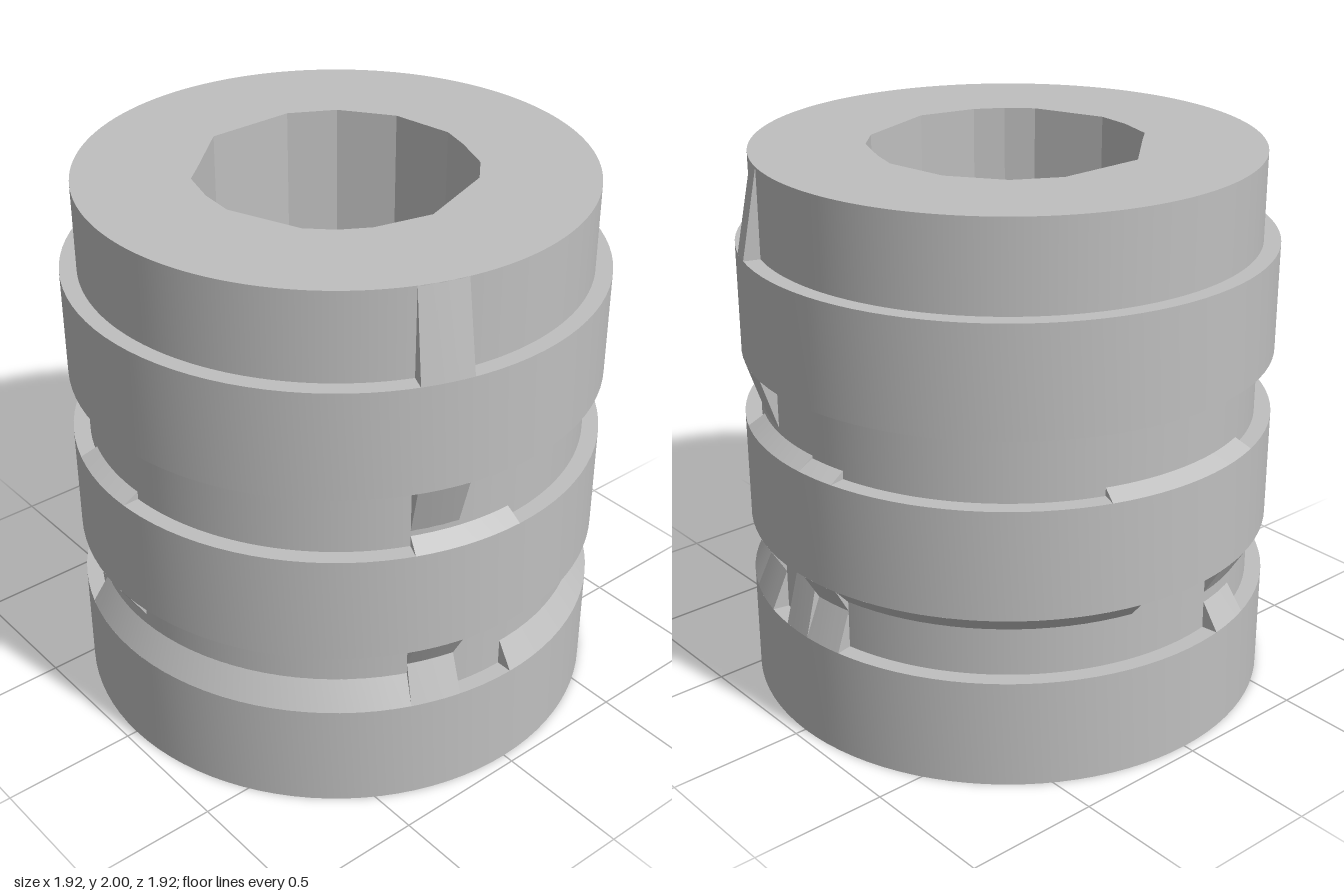
import * as THREE from 'three';
import { mergeGeometries, toCreasedNormals } from 'three/addons/utils/BufferGeometryUtils.js';

const CORE = 0.9, RIM = 0.96, SEGS = 96;
const rad = THREE.MathUtils.degToRad;

export function createModel() {
  const group = new THREE.Group();
  const grey = new THREE.MeshStandardMaterial({ color: 0xbfbfbf });
  grey.name = 'plain grey';

  function add(name, geometry) {
    const mesh = new THREE.Mesh(geometry, grey);
    mesh.name = name;
    group.add(mesh);
  }

  // Core tube with an irregular faceted bore (points are x, z)
  const bore = [
    [-0.17, -0.47], [0.16, -0.47], [0.32, -0.38], [0.45, -0.2], [0.49, 0.03],
    [0.46, 0.14], [0.4, 0.29], [0.31, 0.38], [0, 0.49], [-0.21, 0.44], [-0.31, 0.38],
    [-0.39, 0.3], [-0.49, 0.04], [-0.48, -0.09], [-0.44, -0.23], [-0.37, -0.29],
  ];
  const ring = new THREE.Shape().absarc(0, 0, CORE, 0, Math.PI * 2);
  ring.holes.push(new THREE.Path(bore.map(([x, z]) => new THREE.Vector2(x, -z))));
  const core = new THREE.ExtrudeGeometry(ring, { depth: 2, bevelEnabled: false, curveSegments: SEGS });
  core.rotateX(-Math.PI / 2);
  add('core', toCreasedNormals(core, 0.15));

  // Raised bands around the core
  const bands = { lowerBand: [0, 0.4], middleBand: [0.64, 1.04], upperBand: [1.285, 1.68] };
  for (const [name, [y0, y1]] of Object.entries(bands)) {
    const profile = [[CORE, y0], [RIM, y0], [RIM, y1], [CORE, y1]].map((p) => new THREE.Vector2(...p));
    add(name, toCreasedNormals(new THREE.LatheGeometry(profile, SEGS), 0.3));
  }

  // Triangular ramp swept between two angles, measured from the front towards +x
  function wedge(points, from, to) {
    const start = rad(from), sweep = rad(to - from);
    const profile = [...points, points[0]].map((p) => new THREE.Vector2(...p));
    const steps = Math.max(2, Math.ceil((to - from) / 3.75));
    const side = new THREE.LatheGeometry(profile, steps, start, sweep).toNonIndexed();
    side.deleteAttribute('uv');
    const cap = (angle, corners) => {
      const g = new THREE.BufferGeometry().setFromPoints(corners.map(([r, y]) =>
        new THREE.Vector3(r * Math.sin(angle), y, r * Math.cos(angle))));
      g.computeVertexNormals();
      return g;
    };
    const ends = [cap(start, points), cap(start + sweep, [...points].reverse())];
    return toCreasedNormals(mergeGeometries([side, ...ends]), 0.3);
  }

  // Ramps rising from the top of a band: base y, tip y, from, to
  const rising = [
    [1.68, 2, -24, -13], [1.68, 2, 66, 71.5],
    [1.04, 1.08, -24, 0], [1.04, 1.08, 66, 92.5], [1.04, 1.07, 92.5, 102],
    [1.04, 1.07, 160, 200], [1.04, 1.07, 251, 272],
    [0.4, 0.5, 251, 336], [0.4, 0.54, 336, 347], [0.4, 0.5, 0, 66],
    [0.4, 0.54, 66, 78], [0.4, 0.64, 85, 92.5], [0.4, 0.54, 92.5, 102],
    [0.4, 0.5, 189, 200],
  ];
  for (const [base, tip, from, to] of rising) {
    add('risingRamp', wedge([[CORE, base], [RIM, base], [CORE, tip]], from, to));
  }

  // Ramps hanging under a band: tip y, base y, from, to
  const hanging = [
    [1.1, 1.285, -24, -13], [1.1, 1.285, 66, 78],
    [0.54, 0.64, -24, -13], [0.54, 0.64, 66, 78], [0.54, 0.64, 92.5, 102],
    [0.575, 0.64, 102, 167], [0.54, 0.64, 189, 200], [0.54, 0.64, 251, 272],
  ];
  for (const [tip, base, from, to] of hanging) {
    add('hangingRamp', wedge([[CORE, tip], [RIM, base], [CORE, base]], from, to));
  }

  return group;
}
